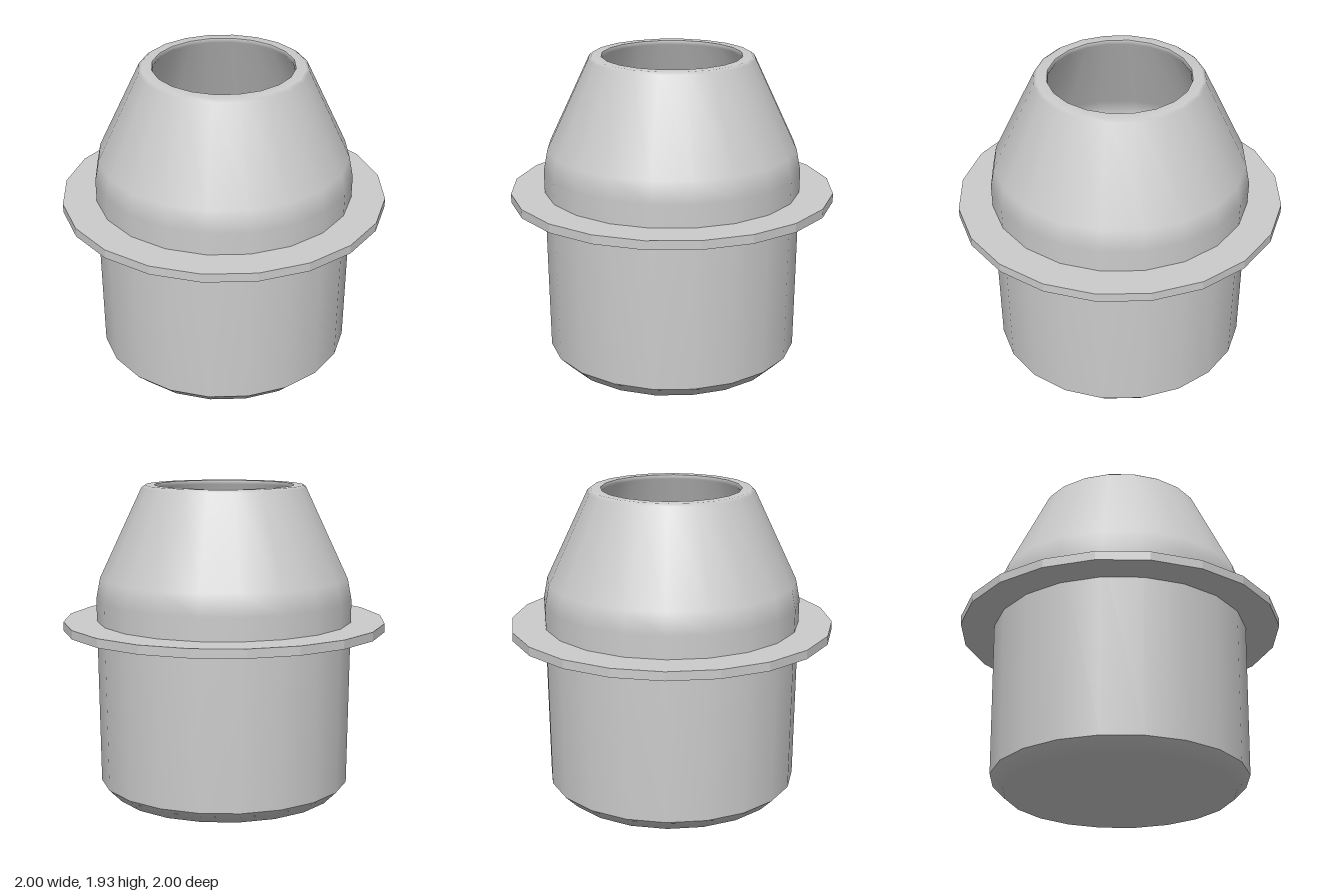
import * as THREE from 'three';

const SIDES = 20;

// Revolve a short [radius, height] profile; each call is one smooth band.
function turned(name, profile, flatShading = false) {
  const points = profile.map(([r, y]) => new THREE.Vector2(r, y));
  const material = new THREE.MeshStandardMaterial({ color: 0xcccccc, flatShading });
  const mesh = new THREE.Mesh(new THREE.LatheGeometry(points, SIDES), material);
  mesh.name = name;
  return mesh;
}

export function createModel() {
  const group = new THREE.Group();
  group.name = 'flangedCup';

  // Closed underside with a chamfered edge
  group.add(turned('base', [[0, 0], [0.7, 0], [0.78, 0.08]]));

  // Slightly tapered wall, rounded shoulder, cone and rolled rim
  group.add(turned('body', [
    [0.78, 0.08], [0.795, 1.24], [0.77, 1.37], [0.51, 1.92], [0.49, 1.935], [0.43, 1.935],
  ]));

  // Hollow inside: lip, cone, wall and floor
  group.add(turned('innerWall', [
    [0.43, 1.935], [0.425, 1.91], [0.69, 1.35], [0.725, 1.24], [0.71, 0.12], [0.66, 0.07], [0, 0.07],
  ]));

  // Thin faceted collar round the body
  group.add(turned('flange', [
    [0.78, 1.045], [1, 1.045], [1, 1.1], [0.78, 1.1],
  ], true));

  return group;
}
